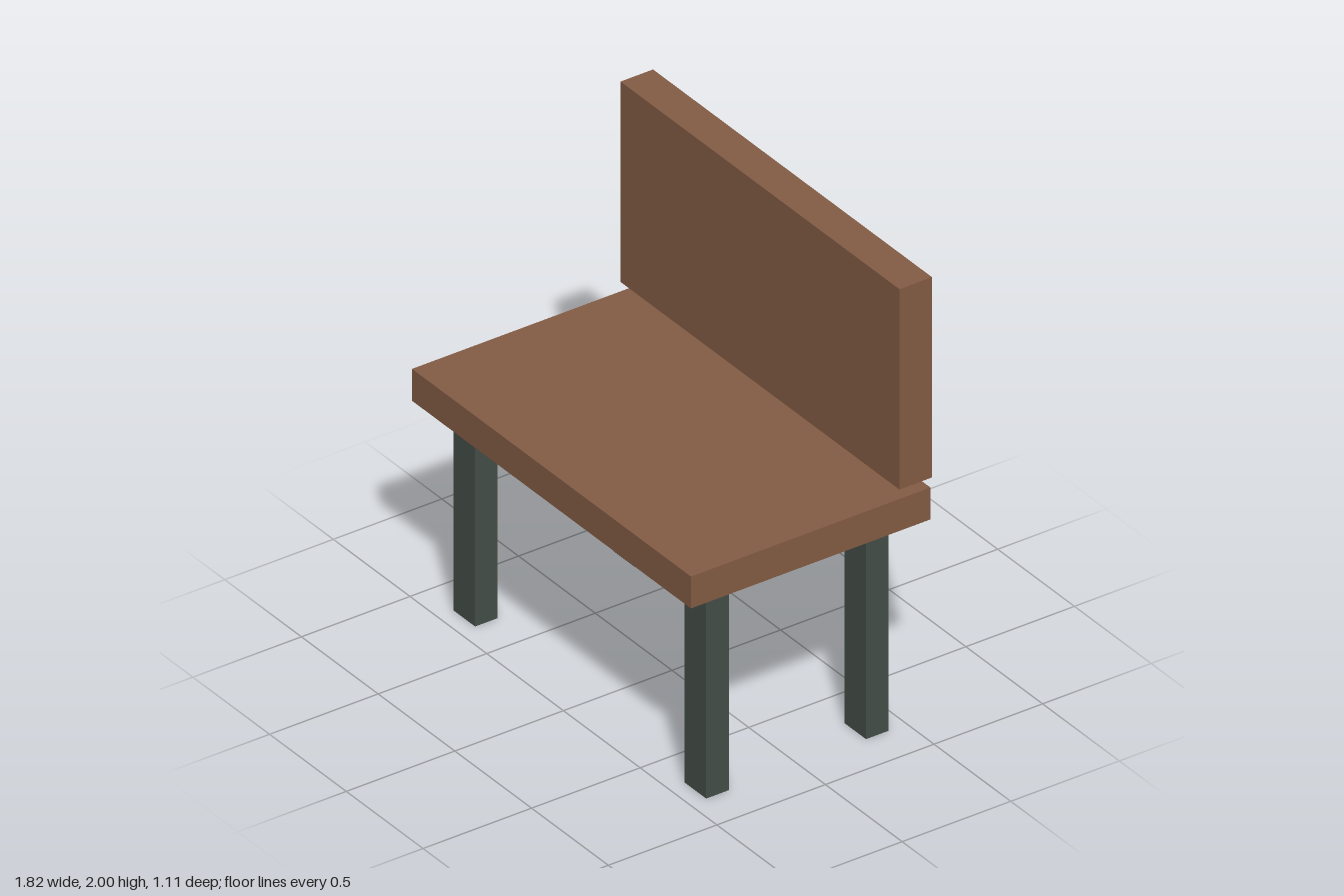
import * as THREE from 'three';

export function createModel() {
  const bench = new THREE.Group();
  bench.name = 'bench';

  const wood = new THREE.MeshStandardMaterial({ color: 0x845c44 });
  wood.name = 'brown wood';
  const metal = new THREE.MeshStandardMaterial({ color: 0x444e48 });
  metal.name = 'dark grey metal';

  // Box given by its lower and upper corners
  function addBox(name, material, [x0, y0, z0], [x1, y1, z1]) {
    const mesh = new THREE.Mesh(new THREE.BoxGeometry(x1 - x0, y1 - y0, z1 - z0), material);
    mesh.position.set((x0 + x1) / 2, (y0 + y1) / 2, (z0 + z1) / 2);
    mesh.name = name;
    bench.add(mesh);
  }

  // Seat slab and the backrest floating just above its rear edge
  addBox('seat', wood, [-0.909, 0.931, -0.548], [0.909, 1.072, 0.555]);
  addBox('backrest', wood, [-0.909, 1.114, -0.555], [0.909, 2, -0.405]);

  // Four square-cut legs
  const legW = 0.07, legD = 0.052;
  for (const [side, x] of [['Left', 0.753], ['Right', -0.753]]) {
    for (const [end, z] of [['front', 0.372], ['back', -0.364]]) {
      addBox(`${end}${side}Leg`, metal, [x - legW, 0, z - legD], [x + legW, 0.931, z + legD]);
    }
  }

  return bench;
}
